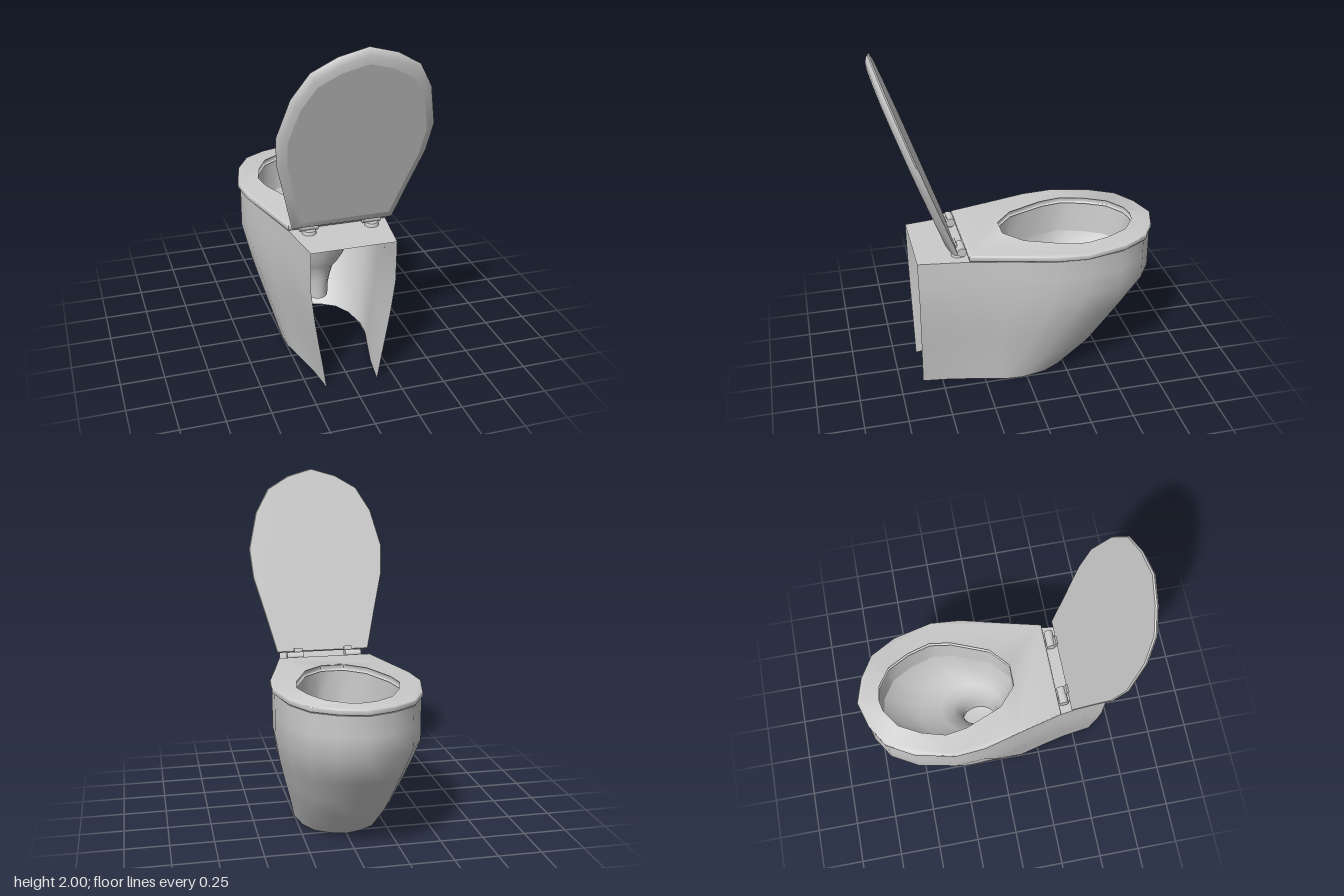
import * as THREE from 'three';
import { toCreasedNormals } from 'three/addons/utils/BufferGeometryUtils.js';

const material = new THREE.MeshStandardMaterial({ color: 0xcccccc, side: THREE.DoubleSide });

// Half outlines as [x, z], from the front tip (-z) to the back
const SEAT = [[0, -0.815], [0.15, -0.77], [0.28, -0.69], [0.365, -0.54], [0.42, -0.31], [0.405, -0.13], [0.35, 0.08], [0.285, 0.34]];
const BODY = [[0, -0.805], [0.15, -0.76], [0.275, -0.68], [0.36, -0.53], [0.405, -0.31], [0.395, -0.13], [0.342, 0.08], [0.28, 0.34], [0.24, 0.625]];
const HOLE = [[0, -0.7], [0.08, -0.685], [0.19, -0.61], [0.26, -0.48], [0.3, -0.34], [0.28, -0.21], [0.19, 0.01], [0.07, 0.115]];

// Full outline: back of the right side, round the front tip, to the back of the left side
const mirror = (half) => [...half.slice(1).reverse().map(([x, z]) => [-x, z]), ...half];

// Skin through rings of [x, y, z] points with equal counts
function loft(rings, closed, crease = 0.9) {
  const n = rings[0].length;
  const index = [];
  for (let r = 0; r < rings.length - 1; r++) {
    for (let i = 0; i < (closed ? n : n - 1); i++) {
      const j = (i + 1) % n;
      const a = r * n + i, b = r * n + j, c = a + n, d = b + n;
      index.push(a, b, c, b, d, c);
    }
  }
  const geometry = new THREE.BufferGeometry();
  geometry.setAttribute('position', new THREE.Float32BufferAttribute(rings.flat(2), 3));
  geometry.setIndex(index);
  return toCreasedNormals(geometry, crease);
}

// Shape lying in the xz plane once turned by -90 degrees about x
function planShape(outline, hole) {
  const toPoints = (list) => list.map(([x, z]) => new THREE.Vector2(x, -z));
  const shape = new THREE.Shape(toPoints(outline));
  if (hole) shape.holes.push(new THREE.Path(toPoints(hole)));
  return shape;
}

function add(parent, name, geometry) {
  const mesh = new THREE.Mesh(geometry, material);
  mesh.name = name;
  parent.add(mesh);
  return mesh;
}

export function createModel() {
  const model = new THREE.Group();
  model.name = 'toilet';
  const hole = mirror(HOLE);

  // Pedestal shell, open at the back and below: [y, width scale, front z, back z]
  const levels = [
    [0.86, 1, -0.805, 0.625], [0.74, 1, -0.805, 0.624], [0.62, 1, -0.805, 0.622], [0.44, 0.91, -0.675, 0.62],
    [0.3, 0.82, -0.574, 0.618], [0.17, 0.73, -0.48, 0.617], [0, 0.62, -0.29, 0.615],
  ];
  const body = mirror(BODY);
  add(model, 'pedestal', loft(levels.map(([y, s, front, back]) =>
    body.map(([x, z]) => [x * s, y, front + (z + 0.805) / 1.43 * (back - front)])), false));
  add(model, 'topPlate', new THREE.ShapeGeometry(planShape(body, hole)).rotateX(-Math.PI / 2).translate(0, 0.86, 0));

  // Bowl: normalised hole outline, rounding off into an ellipse towards the drain
  const rim = [];
  hole.forEach(([x, z], i) => {
    const [nx, nz] = hole[(i + 1) % hole.length];
    for (const t of [0, 0.5]) {
      rim.push(new THREE.Vector2((x + (nx - x) * t) / 0.3, (z + (nz - z) * t + 0.2925) / 0.4075));
    }
  });
  const bowlRing = ([y, halfX, halfZ, centre, round]) => rim.map((p) => {
    const q = p.clone().lerp(p.clone().normalize(), round);
    return [q.x * halfX, y, centre + q.y * halfZ];
  });
  const bowlRows = [
    [0.67, 0.29, 0.395, -0.283, 0], [0.58, 0.262, 0.345, -0.255, 0.3], [0.49, 0.215, 0.265, -0.205, 0.6],
    [0.44, 0.155, 0.19, -0.15, 0.9], [0.405, 0.11, 0.14, -0.12, 1], [0.34, 0.085, 0.115, -0.105, 1],
    [0.28, 0.072, 0.102, -0.1, 1], [0.205, 0.07, 0.1, -0.1, 1],
  ];
  add(model, 'bowlWall', loft([[0.86, 0.3, 0.4075, -0.2925, 0], bowlRows[0]].map(bowlRing), true));
  add(model, 'bowl', loft(bowlRows.map(bowlRing), true, 1.3));
  add(model, 'drain', loft([[0.205, 0.07, 0.1, -0.1, 1], [0.192, 0, 0, -0.1, 1]].map(bowlRing), true));

  // Seat ring with softened edges
  const seat = new THREE.ExtrudeGeometry(planShape(mirror(SEAT), hole), {
    depth: 0.016, bevelThickness: 0.01, bevelSize: 0.012, bevelOffset: -0.012, bevelSegments: 3,
  });
  add(model, 'seat', toCreasedNormals(seat.rotateX(-Math.PI / 2).translate(0, 0.873, 0), 0.7));

  // Lid, modelled closed with its hinge edge at the origin, then swung open
  const lid = new THREE.Group();
  lid.name = 'lid';
  const lidOutline = mirror(SEAT).map(([x, z]) => [x, z - 0.34]);
  const shrink = (s) => lidOutline.map(([x, z]) => [x * s, -0.55 + (z + 0.55) * s]);
  const lidRows = [[0, 0.99], [0.008, 1], [0.022, 0.985], [0.036, 0.94], [0.045, 0.875]];
  add(lid, 'lidEdge', loft(lidRows.map(([y, s]) => shrink(s).map(([x, z]) => [x, y, z])), true));
  for (const [name, [y, s]] of [['lidInside', lidRows[0]], ['lidOutside', lidRows[4]]]) {
    const face = new THREE.ShapeGeometry(planShape(shrink(s))).rotateX(-Math.PI / 2).translate(0, y, 0);
    // The inner face looks the other way
    if (name === 'lidInside') face.rotateZ(Math.PI);
    add(lid, name, face);
  }
  lid.position.set(0, 0.915, 0.4);
  lid.rotation.x = 1.912;
  model.add(lid);

  // Hinges: foot, barrel and lid tab on each side
  for (const side of [-1, 1]) {
    const hinge = new THREE.Group();
    hinge.name = side > 0 ? 'leftHinge' : 'rightHinge';
    add(hinge, 'hingeFoot', new THREE.CylinderGeometry(0.036, 0.04, 0.02, 20)).position.set(side * 0.18, 0.87, 0.385);
    add(hinge, 'hingeBarrel', new THREE.CylinderGeometry(0.026, 0.026, 0.1, 20).rotateZ(Math.PI / 2)).position.set(side * 0.18, 0.896, 0.37);
    const tab = add(hinge, 'hingeTab', new THREE.BoxGeometry(0.05, 0.05, 0.012));
    tab.position.set(side * 0.155, 0.915, 0.393);
    tab.rotation.x = 0.34;
    model.add(hinge);
  }
  return model;
}
